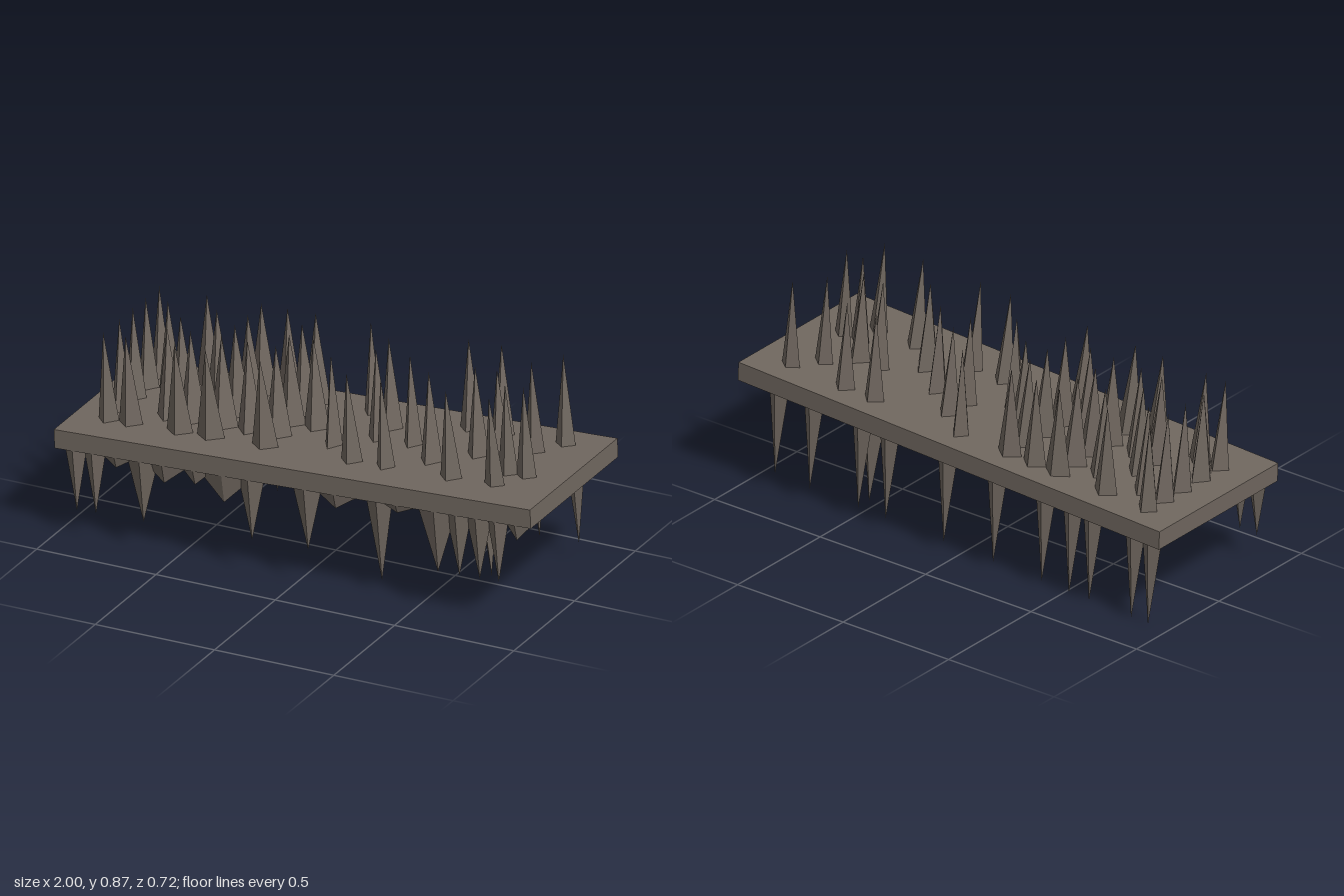
import * as THREE from 'three';

export function createModel() {
  const model = new THREE.Group();
  model.name = 'spikedSlab';
  const stone = new THREE.MeshStandardMaterial({ color: 0x70675f });
  stone.name = 'brownGreyStone';
  stone.flatShading = true;

  // Everything shares the slab's slight tilt
  const tilted = new THREE.Group();
  tilted.name = 'tiltedBody';
  tilted.position.y = 0.443;
  tilted.rotation.z = 0.043;
  model.add(tilted);

  const THICK = 0.076;
  const slab = new THREE.Mesh(new THREE.BoxGeometry(1.998, THICK, 0.72), stone);
  slab.name = 'slab';
  tilted.add(slab);

  // Four-sided spike with a diamond base; dir is +1 (up) or -1 (down), lean shifts the tip in z
  function spike(name, x, z, halfX, halfZ, length, dir, lean = 0) {
    const geo = new THREE.ConeGeometry(1, 1, 4);
    geo.translate(0, 0.5, 0);
    if (dir < 0) geo.rotateX(Math.PI);
    geo.scale(halfX, length, halfZ);
    geo.applyMatrix4(new THREE.Matrix4().makeShear(0, 0, 0, dir * lean / length, 0, 0));
    const pos = geo.attributes.position;
    for (let i = 0; i < pos.count; i++) {
      const t = Math.abs(pos.getY(i)) / length;
      pos.setX(i, t > 0.99 ? 0 : pos.getX(i));
      if (t > 0.99) pos.setZ(i, lean);
    }
    geo.computeVertexNormals();
    const mesh = new THREE.Mesh(geo, stone);
    mesh.name = name;
    mesh.position.set(x, dir * THICK / 2, z);
    tilted.add(mesh);
  }

  // Upper spikes: columns (x, half width) and rows (z, half depth, tip lean, columns used)
  const columns = [
    [-0.853, 0.043], [-0.76, 0.05], [-0.653, 0.053], [-0.555, 0.055],
    [-0.425, 0.058], [-0.315, 0.053], [-0.197, 0.055], [-0.095, 0.053],
    [0.035, 0.036], [0.167, 0.045], [0.31, 0.038], [0.445, 0.045],
    [0.583, 0.045], [0.675, 0.045], [0.765, 0.042], [0.842, 0.042],
  ];
  const rows = [
    { z: -0.242, d: 0.045, lean: -0.01, use: [0, 2, 4, 5, 6, 8, 11, 12, 15] },
    { z: -0.14, d: 0.053, lean: 0, use: [0, 1, 3, 4, 6, 9, 14] },
    { z: -0.034, d: 0.052, lean: 0, use: [0, 2, 4, 6, 7, 9, 10, 12, 13] },
    { z: 0.08, d: 0.058, lean: -0.003, use: [0, 2, 3, 4, 5, 6, 8, 11, 14, 15] },
    { z: 0.192, d: 0.046, lean: 0.017, use: [0, 1, 3, 4, 6, 9, 10, 12, 14] },
  ];
  for (const row of rows) {
    for (const c of row.use) {
      const [x, w] = columns[c];
      const depth = c >= 14 ? 0.034 : row.d;
      spike('upperSpike', x, row.z, w, depth, 0.36, 1, row.lean);
    }
  }

  // Long lower spikes along the back edge
  for (const x of [-0.915, -0.835, -0.635, -0.54, -0.41, -0.18, 0.055, 0.33, 0.46, 0.69, 0.855])
    spike('backLowerSpike', x - 0.015, -0.313, 0.045, 0.028, 0.362, -1, -0.005);

  // Long lower spikes further in
  spike('innerLowerSpike', 0.445, -0.244, 0.055, 0.044, 0.36, -1, -0.008);
  spike('innerLowerSpike', 0.675, 0.08, 0.045, 0.058, 0.36, -1, -0.004);
  spike('innerLowerSpike', 0.315, 0.268, 0.06, 0.03, 0.36, -1, 0.004);

  // Medium spikes hanging from the front edge
  const frontSpikes = [
    [-0.915, 0.045], [-0.835, 0.045], [-0.635, 0.065], [-0.18, 0.055], [0.055, 0.06],
    [0.6, 0.08], [0.69, 0.055], [0.775, 0.055], [0.855, 0.045],
  ];
  for (const [x, w] of frontSpikes)
    spike('frontLowerSpike', x - 0.01, 0.33, w, 0.03, 0.25, -1, 0.012);

  // Short wide teeth between them
  const teeth = [
    [-0.75, 0.08, 0.045], [-0.55, 0.1, 0.075], [-0.42, 0.07, 0.06], [-0.3, 0.12, 0.112],
    [0.17, 0.1, 0.06], [0.43, 0.1, 0.035], [0.93, 0.06, 0.065],
  ];
  for (const [x, w, length] of teeth)
    spike('frontTooth', x, 0.325, w, 0.035, length, -1, 0.02);

  return model;
}
